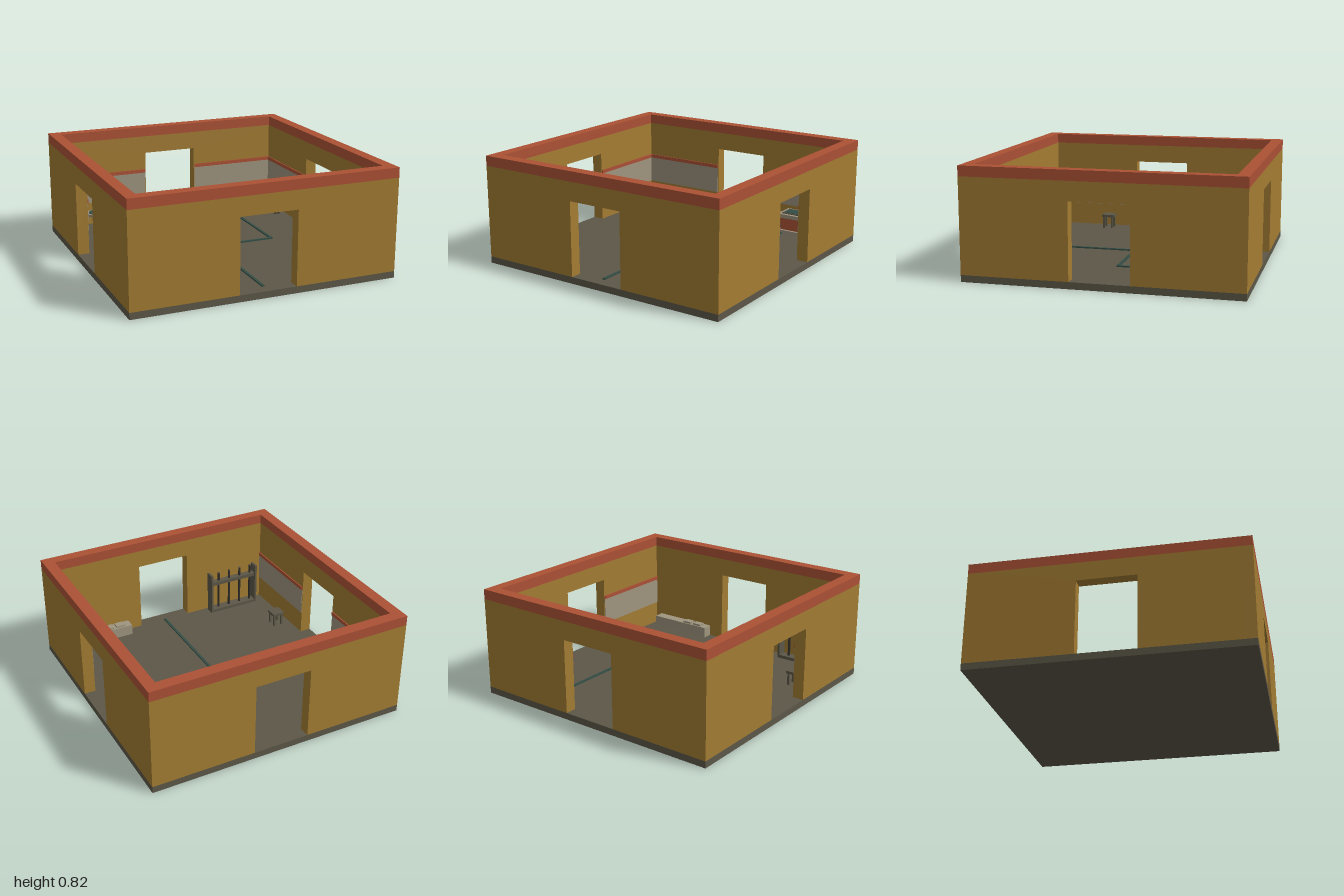
import * as THREE from 'three';

const paint = (name, color) => Object.assign(new THREE.MeshStandardMaterial({ color }), { name });

export function createModel() {
  const ochre = paint('ochre wall', 0xa37c33);
  const red = paint('brick red', 0xac5135);
  const stone = paint('dark stone', 0x5c5747);
  const beige = paint('beige plaster', 0x9f957f);
  const teal = paint('deep teal', 0x344d45);
  const iron = paint('dark iron', 0x33312d);

  const model = new THREE.Group();
  model.name = 'room';
  const FLOOR = 0.05, WALL = 0.745, TOP = 0.82, IN = 0.914, DOOR = 0.215, HEAD = 0.605;

  const group = (name, parent = model) => {
    const g = new THREE.Group();
    g.name = name;
    parent.add(g);
    return g;
  };
  // box given by its extents on each axis
  const box = (parent, name, mat, [x0, x1], [y0, y1], [z0, z1]) => {
    const m = new THREE.Mesh(new THREE.BoxGeometry(x1 - x0, y1 - y0, z1 - z0), mat);
    m.position.set((x0 + x1) / 2, (y0 + y1) / 2, (z0 + z1) / 2);
    m.name = name;
    parent.add(m);
    return m;
  };
  // turned part from [radius, height] points
  const lathe = (parent, name, mat, pts, x, z, sides = 16) => {
    const m = new THREE.Mesh(
      new THREE.LatheGeometry(pts.map(p => new THREE.Vector2(...p)), sides).toNonIndexed(), mat);
    m.geometry.computeVertexNormals();
    m.position.set(x, FLOOR, z);
    m.name = name;
    parent.add(m);
    return m;
  };

  box(model, 'floor', stone, [-1, 1], [0, FLOOR], [-1, 1]);

  // four walls with doorways; the front and back walls own the corners
  for (let i = 0; i < 4; i++) {
    const wall = group(['frontWall', 'leftWall', 'backWall', 'rightWall'][i]);
    wall.rotation.y = i * Math.PI / 2;
    const end = i % 2 ? IN : 1;
    const s = new THREE.Shape();
    [[-end, FLOOR], [-DOOR, FLOOR], [-DOOR, HEAD], [DOOR, HEAD], [DOOR, FLOOR],
      [end, FLOOR], [end, WALL], [-end, WALL]].forEach(([x, y], k) => k ? s.lineTo(x, y) : s.moveTo(x, y));
    const body = new THREE.Mesh(
      new THREE.ExtrudeGeometry(s, { depth: 1 - IN, bevelEnabled: false }), ochre);
    body.position.z = IN;
    body.name = 'wallBody';
    wall.add(body);
    box(wall, 'coping', red, [-end, end], [WALL, TOP], [IN, 1]);

    // plaster band and red rail on every wall except the front one
    if (i > 0) for (const side of [-1, 1]) {
      const span = side < 0 ? [-IN, -0.22] : [0.22, IN];
      box(wall, 'plasterPanel', beige, span, [0.23, 0.44], [IN - 0.004, IN]);
      box(wall, 'rail', red, span, [0.44, 0.468], [IN - 0.009, IN]);
    }
  }

  // raised line across the floor
  const line = group('floorLine');
  box(line, 'lineFront', teal, [-0.01, 0.01], [FLOOR, 0.06], [0.01, IN]);
  box(line, 'lineCross', teal, [-0.01, 0.515], [FLOOR, 0.06], [-0.01, 0.01]);
  box(line, 'lineBack', teal, [0.495, 0.515], [FLOOR, 0.06], [-0.72, -0.01]);

  // round pedestal table
  const table = group('roundTable');
  lathe(table, 'pedestal', beige, [[0, 0], [0.045, 0], [0.045, 0.012], [0.014, 0.03], [0.012, 0.11],
    [0.04, 0.132], [0.088, 0.142], [0.088, 0.16], [0, 0.16]], -0.7, -0.7, 20);
  lathe(table, 'tableInset', teal, [[0.07, 0.155], [0.07, 0.164], [0, 0.164]], -0.7, -0.7, 20);

  // console in the back corner
  const desk = group('cornerConsole');
  box(desk, 'plinth', beige, [0.47, 0.79], [FLOOR, 0.08], [-0.89, -0.71]);
  box(desk, 'consoleBody', red, [0.49, 0.77], [0.08, 0.18], [-0.87, -0.73]);
  box(desk, 'consoleTop', beige, [0.47, 0.79], [0.18, 0.21], [-0.89, -0.71]);
  box(desk, 'insetFrame', stone, [0.497, 0.767], [0.21, 0.216], [-0.863, -0.737]);
  box(desk, 'inset', teal, [0.51, 0.755], [0.216, 0.219], [-0.85, -0.75]);

  // small iron stands beside the console
  for (const [x, z] of [[0.405, -0.835], [0.845, -0.6]]) {
    lathe(model, 'ironStand', iron, [[0, 0], [0.03, 0], [0.03, 0.012], [0.01, 0.025], [0.01, 0.085],
      [0.03, 0.1], [0.03, 0.12], [0.018, 0.135], [0, 0.14]], x, z, 10);
  }

  // counter on the front wall
  const counter = group('counter');
  box(counter, 'counterBody', beige, [0.335, 0.86], [FLOOR, 0.135], [0.83, IN]);
  for (const x of [0.39, 0.49]) {
    box(counter, 'counterTray', beige, [x, x + 0.075], [0.135, 0.15], [0.84, 0.898]);
  }

  // standing rack with four poles
  const rack = group('rack');
  box(rack, 'rackBase', stone, [-0.835, -0.4], [FLOOR, 0.075], [0.823, 0.897]);
  for (const x of [-0.835, -0.418]) {
    box(rack, 'rackEnd', stone, [x, x + 0.018], [0.075, 0.4], [0.823, 0.897]);
  }
  box(rack, 'rackRail', stone, [-0.817, -0.418], [0.3, 0.33], [0.835, 0.885]);
  for (let i = 0; i < 4; i++) {
    lathe(rack, 'pole', iron, [[0.01, 0.025], [0.01, 0.35], [0, 0.36]], -0.785 + i * 0.1, 0.86, 8);
  }

  // square stool
  const stool = group('stool');
  box(stool, 'seat', stone, [-0.85, -0.75], [0.145, 0.165], [0.38, 0.48]);
  for (const x of [-0.842, -0.774]) for (const z of [0.388, 0.456]) {
    box(stool, 'stoolLeg', stone, [x, x + 0.016], [FLOOR, 0.145], [z, z + 0.016]);
  }

  return model;
}
